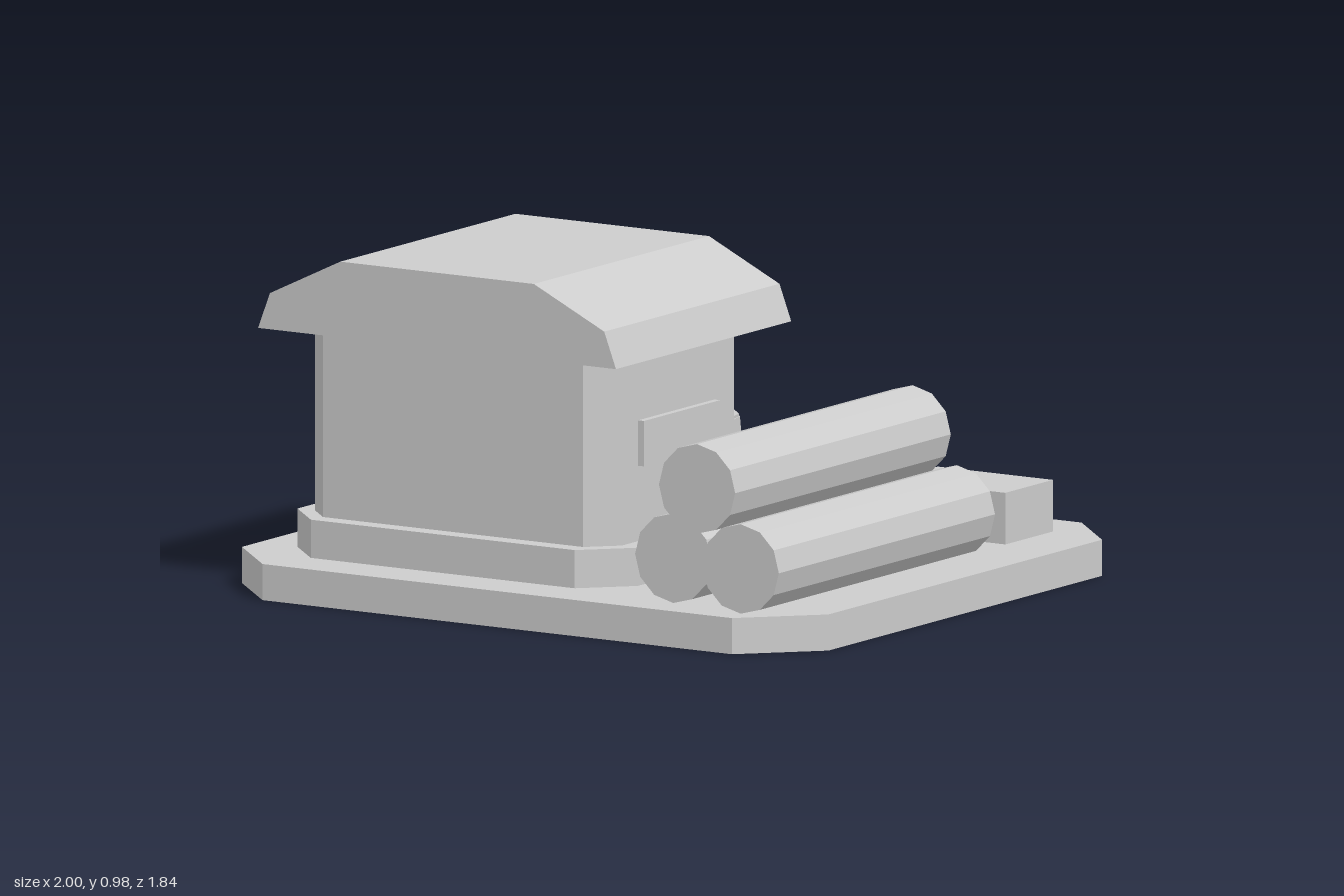
import * as THREE from 'three';

export function createModel() {
  const group = new THREE.Group();
  const grey = new THREE.MeshStandardMaterial({ color: 0xcccccc, side: THREE.DoubleSide });
  grey.name = 'plain grey';
  grey.flatShading = true;

  const add = (name, geometry, x = 0, y = 0, z = 0, parent = group) => {
    const mesh = new THREE.Mesh(geometry, grey);
    mesh.name = name;
    mesh.position.set(x, y, z);
    parent.add(mesh);
    return mesh;
  };
  const box = (name, x0, x1, y0, y1, z0, z1) =>
    add(name, new THREE.BoxGeometry(x1 - x0, y1 - y0, z1 - z0), (x0 + x1) / 2, (y0 + y1) / 2, (z0 + z1) / 2);
  const outline = (points) => new THREE.Shape(points.map(([x, y]) => new THREE.Vector2(x, y)));
  // Upright profile pushed along z
  const profile = (name, points, z0, z1) =>
    add(name, new THREE.ExtrudeGeometry(outline(points), { depth: z1 - z0, bevelEnabled: false }), 0, 0, z0);
  // Block with cut corners, seen from above
  const cutBlock = (name, x0, x1, z0, z1, c, y0, y1) => {
    const w = (x1 - x0) / 2, d = (z1 - z0) / 2;
    const g = new THREE.ExtrudeGeometry(outline([
      [-w, -d + c], [-w + c, -d], [w - c, -d], [w, -d + c],
      [w, d - c], [w - c, d], [-w + c, d], [-w, d - c],
    ]), { depth: y1 - y0, bevelEnabled: false });
    g.rotateX(-Math.PI / 2);
    return add(name, g, (x0 + x1) / 2, y0, (z0 + z1) / 2);
  };

  // Ground slab, hollow below: its lower lid (the first 6 triangles) is cut away
  const ground = 0.105;
  const slab = cutBlock('groundSlab', -1, 1, -0.918, 0.918, 0.2, 0, ground).geometry;
  for (const [key, a] of Object.entries(slab.attributes)) {
    slab.setAttribute(key, new THREE.BufferAttribute(a.array.slice(18 * a.itemSize), a.itemSize));
  }
  slab.clearGroups();

  // Footing and walls
  cutBlock('footing', -0.868, 0.292, -0.085, 0.76, 0.13, ground, 0.216);
  cutBlock('walls', -0.812, 0.235, -0.03, 0.705, 0.08, 0.216, 0.765);

  // Faceted roof
  profile('roof', [
    [-0.898, 0.762], [0.322, 0.762], [0.282, 0.867], [0.042, 0.982], [-0.618, 0.982], [-0.858, 0.867],
  ], -0.13, 0.79);

  // Side window
  box('sideWindow', 0.23, 0.255, 0.435, 0.567, 0.14, 0.54);

  // Posts, stepped arch and double doors
  const cx = -0.29;
  const arch = (name, half, top, shoulder, z) => profile(name, [
    [cx - half, ground], [cx + half, ground], [cx + half, shoulder], [cx + half * 0.8, shoulder + 0.07],
    [cx + half * 0.3, top], [cx - half * 0.3, top], [cx - half * 0.8, shoulder + 0.07], [cx - half, shoulder],
  ], z, -0.02);
  arch('doorSurround', 0.25, 0.76, 0.57, -0.08);
  arch('doorPanel', 0.2, 0.71, 0.53, -0.092);
  for (const s of [-1, 1]) {
    const x = cx + s * 0.075, post = cx + s * 0.4, knob = x - s * 0.025;
    box('post', post - 0.04, post + 0.04, ground, 0.765, -0.095, -0.02);
    box('door', x - 0.042, x + 0.042, 0.12, 0.46, -0.122, -0.09);
    box('doorHandle', knob - 0.008, knob + 0.008, 0.28, 0.34, -0.13, -0.12);
  }
  box('plaque', cx - 0.052, cx + 0.052, 0.605, 0.695, -0.115, -0.09);

  // V-shaped gable ornament
  for (const s of [-1, 1]) {
    profile('gableOrnament', s > 0
      ? [[cx - 0.012, 0.785], [cx + 0.02, 0.785], [cx + 0.097, 0.925], [cx + 0.065, 0.94]]
      : [[cx + 0.012, 0.785], [cx - 0.065, 0.94], [cx - 0.097, 0.925], [cx - 0.02, 0.785]],
    -0.155, -0.12);
  }

  // Bench beside the door
  cutBlock('bench', -0.65, -0.43, -0.165, -0.04, 0.045, ground, 0.215);

  // Lanterns
  for (const [x, z, s] of [[-0.792, -0.223, 1], [0.072, -0.105, 0.66]]) {
    const lantern = new THREE.Group();
    lantern.name = 'lantern';
    lantern.position.set(x, ground, z);
    lantern.scale.set(s, 1.06, s);
    group.add(lantern);
    add('lanternBody', new THREE.CylinderGeometry(0.043, 0.07, 0.13, 12), 0, 0.065, 0, lantern);
    add('lanternCap', new THREE.CylinderGeometry(0.033, 0.08, 0.038, 12), 0, 0.146, 0, lantern);
  }

  // Chopping stump
  add('stump', new THREE.CylinderGeometry(0.22, 0.24, 0.24, 12), -0.418, ground + 0.12, -0.597);
  add('stumpTop', new THREE.CylinderGeometry(0.217, 0.217, 0.008, 12), -0.418, 0.349, -0.597);

  // Axe stuck in the stump
  profile('axeHead', [
    [-0.48, 0.34], [-0.4, 0.35], [-0.305, 0.41], [-0.305, 0.57], [-0.415, 0.57],
  ], -0.627, -0.522);
  const from = new THREE.Vector3(-0.36, 0.5, -0.575);
  const to = new THREE.Vector3(-0.023, 0.757, -0.538);
  const handle = add('axeHandle', new THREE.BoxGeometry(0.045, 0.045, from.distanceTo(to)));
  handle.position.copy(from).lerp(to, 0.5);
  handle.lookAt(to);

  // Log pile
  for (const [x, y, z0, z1] of [
    [0.527, 0.235, -0.327, 0.805], [0.783, 0.235, -0.29, 0.845], [0.655, 0.46, -0.255, 0.877],
  ]) {
    const g = new THREE.CylinderGeometry(0.13, 0.13, z1 - z0, 12);
    g.rotateX(Math.PI / 2);
    add('log', g, x, y, (z0 + z1) / 2);
  }

  // Crate and wood chips
  box('crate', 0.417, 0.81, ground, 0.255, -0.753, -0.503);
  for (const [x, z, turn] of [[-0.045, -0.727, 0], [0.098, -0.707, 0.29], [0.24, -0.685, 0.58]]) {
    add('woodChip', new THREE.BoxGeometry(0.073, 0.038, 0.118), x, ground + 0.019, z).rotation.y = turn;
  }
  return group;
}
